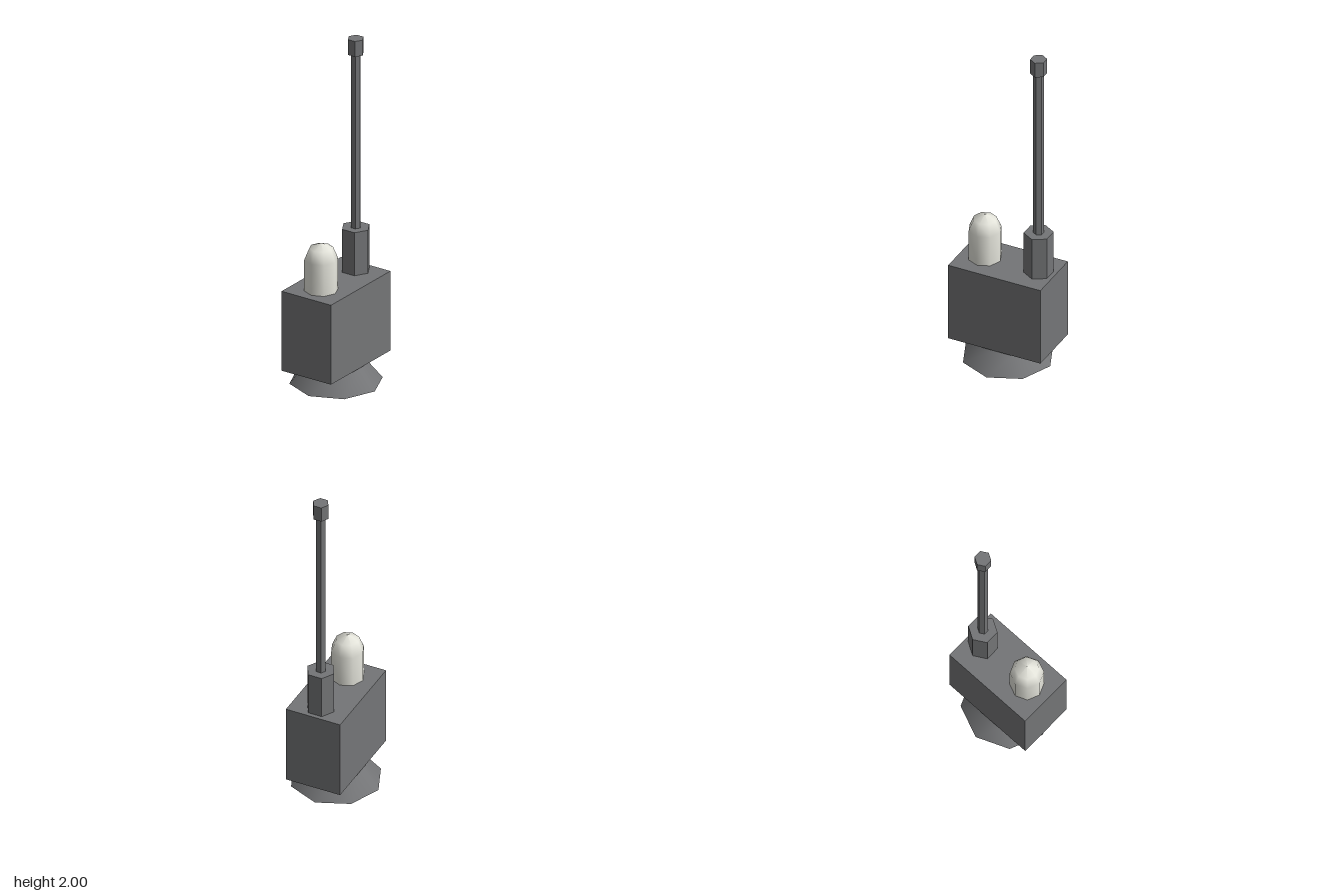
import * as THREE from 'three';

const housingGrey = new THREE.MeshStandardMaterial({ color: 0x747577 });
housingGrey.name = 'housingGrey';
const lampWhite = new THREE.MeshStandardMaterial({ color: 0xe3e3da });
lampWhite.name = 'lampWhite';

export function createModel() {
  const model = new THREE.Group();
  model.name = 'beaconUnit';

  const add = (name, geometry, material, x, y) => {
    const mesh = new THREE.Mesh(geometry, material);
    mesh.name = name;
    mesh.position.set(x, y, 0);
    model.add(mesh);
  };

  // Flared eight-sided foot, smooth around its side
  add('foot', new THREE.CylinderGeometry(0.165, 0.262, 0.12, 8), housingGrey, 0, 0.06);

  // Box housing
  add('housing', new THREE.BoxGeometry(0.572, 0.48, 0.334), housingGrey, 0, 0.36);

  // Lamp: straight wall running into a smooth half-sphere dome
  const r = 0.095;
  const profile = [new THREE.Vector2(r, 0)];
  for (let i = 0; i <= 2; i++) {
    const a = (i * Math.PI) / 4;
    profile.push(new THREE.Vector2(i === 2 ? 0 : r * Math.cos(a), 0.187 + r * Math.sin(a)));
  }
  add('lamp', new THREE.LatheGeometry(profile, 8), lampWhite, -0.143, 0.6);

  // Antenna: stacked hexagonal prisms with crisp sides
  const hexPrism = (name, radius, bottom, top) => {
    const geometry = new THREE.CylinderGeometry(radius, radius, top - bottom, 6).toNonIndexed();
    geometry.computeVertexNormals();
    add(name, geometry, housingGrey, 0.19, (bottom + top) / 2);
  };
  hexPrism('antennaSocket', 0.083, 0.6, 0.86);
  hexPrism('antennaRod', 0.03, 0.86, 1.91);
  hexPrism('antennaTip', 0.047, 1.907, 2);

  return model;
}
